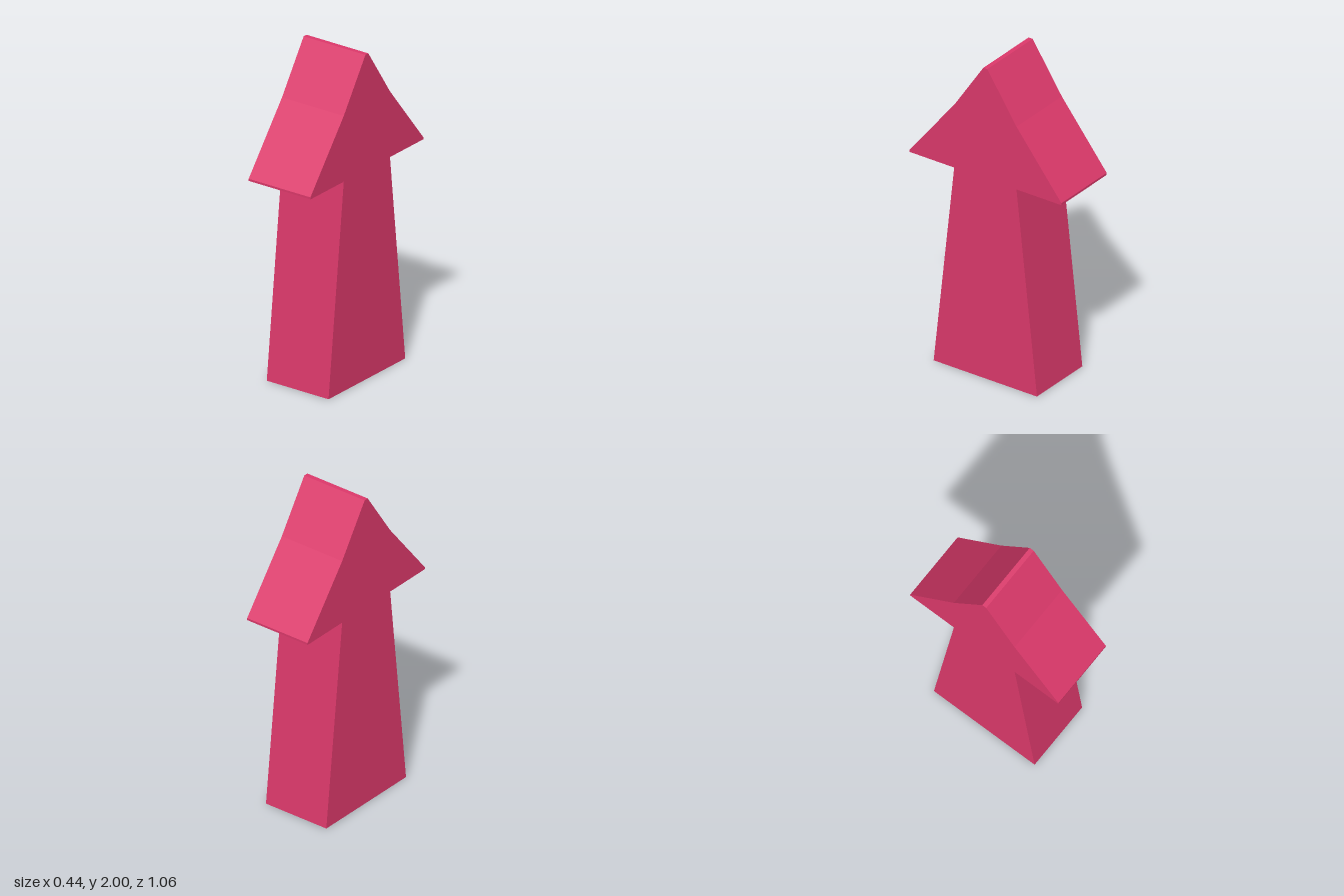
import * as THREE from 'three';

const WIDTH = 0.436;

// Half outline of the arrow, from base to tip: [z, y]
const HALF = [
  [0.36, 0], [0.217, 1.29], [0.53, 1.29], [0.53, 1.303],
  [0.217, 1.695], [0.014, 2],
];

export function createModel() {
  const group = new THREE.Group();
  group.name = 'arrow';
  const crimson = new THREE.MeshStandardMaterial({ color: 0xdc396b });
  crimson.name = 'crimson';

  // Mirror the half outline into a closed profile
  const mirrored = HALF.map(([z, y]) => [-z, y]).reverse();
  const outline = [...HALF, ...mirrored].map(([z, y]) => new THREE.Vector2(z, y));

  // Extrude across the width, then turn the profile into the z-y plane
  const geometry = new THREE.ExtrudeGeometry(new THREE.Shape(outline), {
    depth: WIDTH, bevelEnabled: false,
  });
  geometry.translate(0, 0, -WIDTH / 2);
  geometry.rotateY(-Math.PI / 2);

  const body = new THREE.Mesh(geometry, crimson);
  body.name = 'arrowBody';
  group.add(body);
  return group;
}
